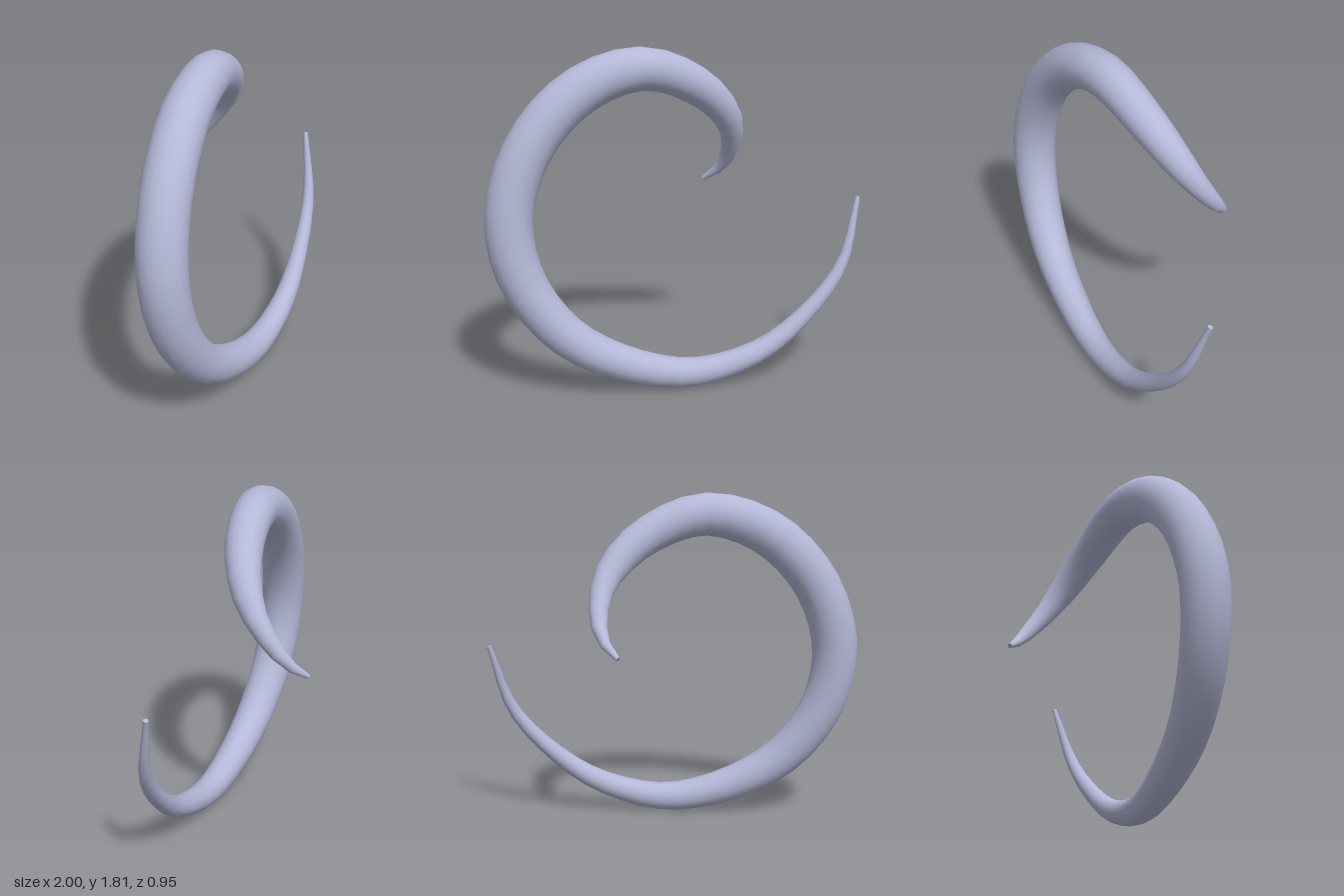
import * as THREE from 'three';

// Centre line and thickness of the horn: x, y, z, radius
const STATIONS = [
  [0.985, 0.975, -0.09, 0.013],
  [0.885, 0.6, 0.01, 0.034],
  [0.64, 0.315, 0.105, 0.05],
  [0.39, 0.157, 0.175, 0.064],
  [0.0, 0.087, 0.25, 0.082],
  [-0.53, 0.285, 0.335, 0.106],
  [-0.8, 0.61, 0.357, 0.119],
  [-0.876, 0.97, 0.345, 0.125],
  [-0.765, 1.335, 0.285, 0.126],
  [-0.51, 1.605, 0.19, 0.124],
  [-0.19, 1.703, 0.085, 0.114],
  [0.095, 1.595, -0.035, 0.101],
  [0.25, 1.437, -0.15, 0.083],
  [0.297, 1.3, -0.245, 0.062],
  [0.276, 1.14, -0.36, 0.042],
  [0.225, 1.055, -0.42, 0.027],
  [0.15, 0.995, -0.465, 0.013],
];
const LENGTHWISE = 48;
const SIDES = 20;

export function createModel() {
  const model = new THREE.Group();
  model.name = 'spiralHorn';
  const lavender = new THREE.MeshStandardMaterial({ color: 0xb4b7d6 });
  lavender.name = 'lavender';

  const path = new THREE.CatmullRomCurve3(STATIONS.map(([x, y, z]) => new THREE.Vector3(x, y, z)));
  const thickness = new THREE.CatmullRomCurve3(STATIONS.map((s, i) => new THREE.Vector3(i, s[3], 0)), false, 'catmullrom');

  // Unit tube whose rings are drawn in to the local thickness
  const geometry = new THREE.TubeGeometry(path, LENGTHWISE, 1, SIDES, false);
  const position = geometry.attributes.position;
  const normal = geometry.attributes.normal;
  const n = new THREE.Vector3();
  for (let i = 0; i <= LENGTHWISE; i++) {
    const t = path.getUtoTmapping(i / LENGTHWISE);
    const centre = path.getPoint(t);
    const radius = thickness.getPoint(t).y;
    for (let j = 0; j <= SIDES; j++) {
      const k = i * (SIDES + 1) + j;
      n.fromBufferAttribute(normal, k);
      position.setXYZ(k, centre.x + n.x * radius, centre.y + n.y * radius, centre.z + n.z * radius);
    }
  }
  const horn = new THREE.Mesh(geometry, lavender);
  horn.name = 'curledHorn';
  model.add(horn);

  // Flat discs closing both tips
  for (const [name, u, sign] of [['outerTip', 0, -1], ['innerTip', 1, 1]]) {
    const end = path.getPointAt(u);
    const cap = new THREE.Mesh(new THREE.CircleGeometry(0.013, SIDES), lavender);
    cap.name = name;
    cap.position.copy(end);
    cap.lookAt(end.clone().addScaledVector(path.getTangentAt(u), sign));
    model.add(cap);
  }
  return model;
}
